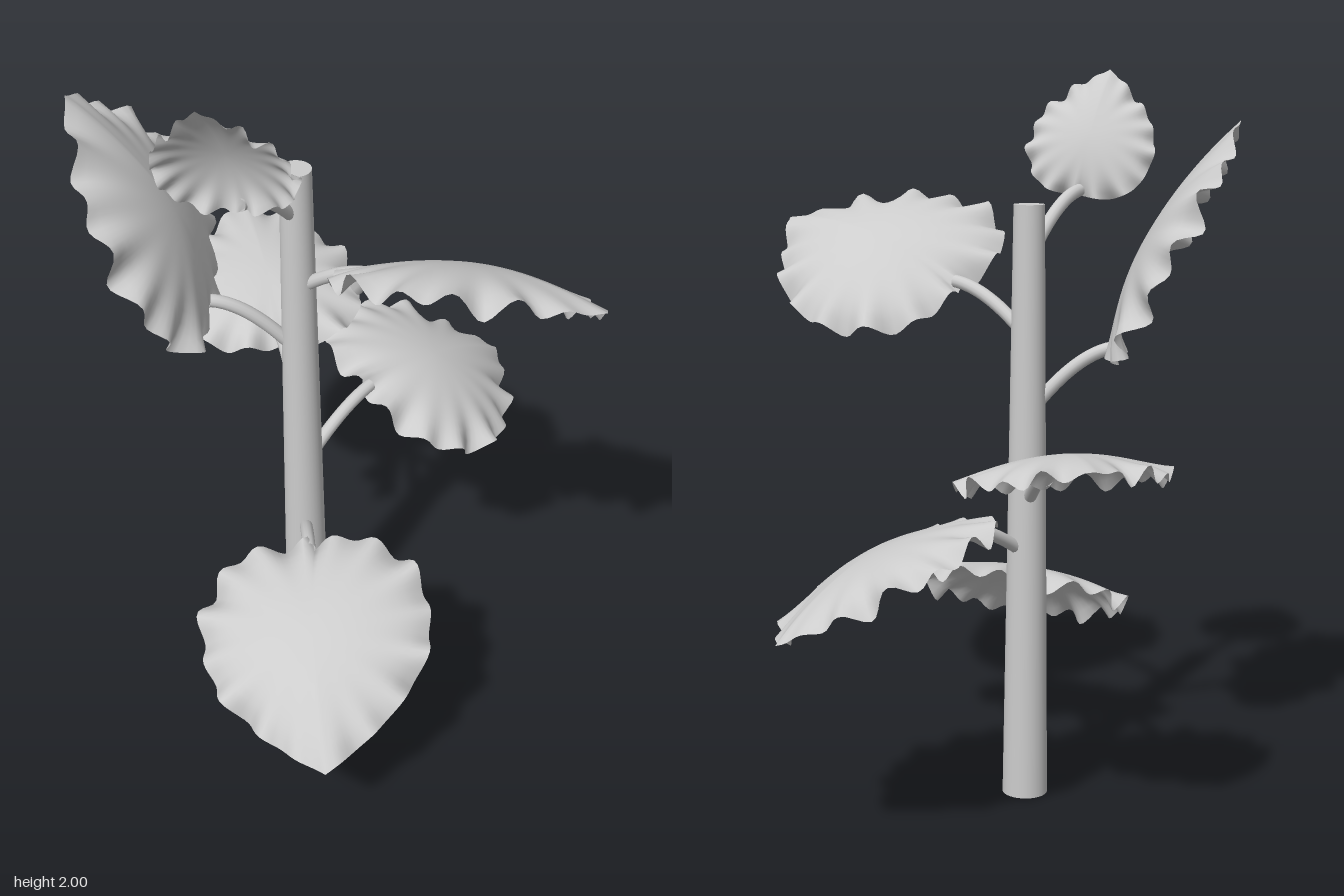
import * as THREE from 'three';

const V = (a) => new THREE.Vector3(...a);
const STEM_X = -0.14, STEM_Z = 0.14;

// Each leaf: height where its stalk leaves the stem, blade base, blade tip, sideways direction
const LEAVES = [
  { y: 0.48, base: [-0.01, 0.58, 0.28], tip: [0.4, 0.3, 0.72], side: [0.35, 0.08, -0.33] },
  { y: 0.69, base: [-0.125, 0.82, -0.12], tip: [-0.09, 0.62, -0.74], side: [0.54, -0.23, 0] },
  { y: 0.83, base: [-0.32, 0.95, 0.0], tip: [-0.76, 1.09, -0.34], side: [0.28, 0, -0.42] },
  { y: 1.08, base: [-0.3, 1.24, 0.29], tip: [-0.56, 1.87, 0.5], side: [0.36, -0.08, 0.45] },
  { y: 1.29, base: [0.09, 1.42, 0.13], tip: [0.76, 1.57, 0.1], side: [0, -0.3, -0.55] },
  { y: 1.5, base: [-0.11, 1.66, 0.38], tip: [-0.09, 2.0, 0.54], side: [0.31, 0.05, -0.14] },
];

// Half outline of a blade of length 1, from base to tip: (half width, distance along)
const HALF = new THREE.SplineCurve([
  [0, 0.01], [0.2, 0.01], [0.36, 0.09], [0.45, 0.24], [0.47, 0.42],
  [0.42, 0.6], [0.3, 0.76], [0.13, 0.91], [0, 1],
].map(([x, y]) => new THREE.Vector2(x, y)));

// Domed blade with a scalloped, ruffled rim, made of rings round its middle
function bladeGeometry(leaf, seed) {
  const base = V(leaf.base);
  const along = V(leaf.tip).sub(base);
  const length = along.length();
  along.normalize();
  const side = V(leaf.side);
  side.addScaledVector(along, -side.dot(along)).normalize();
  const up = new THREE.Vector3().crossVectors(side, along);
  if (up.y < 0) { up.negate(); side.negate(); }

  const RINGS = 12, SEGS = 128, MID = 0.44;
  const positions = [], index = [];
  for (let i = 0; i <= RINGS; i++) {
    const r = i / RINGS;
    for (let j = 0; j < SEGS; j++) {
      const k = j / SEGS * 2;
      const sign = k <= 1 ? 1 : -1;
      const t = k <= 1 ? k : 2 - k;
      const p = HALF.getPointAt(t);
      const window = Math.min(1, (1 - t) * 6);
      const wave = Math.sin(t * 48 + sign * 1.3 + seed) * 0.7 + Math.sin(t * 29 + sign * 2 + seed * 2) * 0.4;
      const scale = r * (1 + 0.035 * wave * window * r ** 3);
      const x = sign * p.x * scale;
      const y = MID + (p.y - MID) * scale;
      const h = 0.1 * (1 - r * r) + (0.045 * wave - 0.025) * window * r ** 7;
      const q = base.clone().addScaledVector(side, x * length)
        .addScaledVector(along, y * length).addScaledVector(up, h * length);
      positions.push(q.x, q.y, q.z);
      if (i < RINGS) {
        const a = i * SEGS + j, b = i * SEGS + (j + 1) % SEGS;
        index.push(a, a + SEGS, b + SEGS);
        if (i > 0) index.push(a, b + SEGS, b);
      }
    }
  }
  const geometry = new THREE.BufferGeometry();
  geometry.setAttribute('position', new THREE.Float32BufferAttribute(positions, 3));
  geometry.setIndex(index);
  geometry.computeVertexNormals();
  // All centre vertices share the blade's normal
  for (let j = 0; j < SEGS; j++) geometry.attributes.normal.setXYZ(j, up.x, up.y, up.z);
  return geometry;
}

// Curved stalk rising from the stem and levelling off at the blade
function stalkGeometry(leaf) {
  const start = new THREE.Vector3(STEM_X, leaf.y, STEM_Z);
  const end = V(leaf.base).lerp(V(leaf.tip), 0.04);
  const bend = start.clone().lerp(end, 0.55);
  bend.y = leaf.y + (end.y - leaf.y) * 0.92;
  const curve = new THREE.QuadraticBezierCurve3(start, bend, end);
  return new THREE.TubeGeometry(curve, 16, 0.018, 12);
}

export function createModel() {
  const model = new THREE.Group();
  model.name = 'leafyPlant';
  const grey = new THREE.MeshStandardMaterial({ color: 0xcccccc, side: THREE.DoubleSide });
  grey.name = 'light grey';

  const add = (parent, name, geometry) => {
    const mesh = new THREE.Mesh(geometry, grey);
    mesh.name = name;
    parent.add(mesh);
    return mesh;
  };

  // Tapered stem
  add(model, 'stem', new THREE.CylinderGeometry(0.042, 0.063, 1.65, 32))
    .position.set(STEM_X, 0.825, STEM_Z);

  // Leaves spiralling up the stem
  LEAVES.forEach((leaf, i) => {
    const group = new THREE.Group();
    group.name = `leaf${i + 1}`;
    add(group, 'stalk', stalkGeometry(leaf));
    add(group, 'blade', bladeGeometry(leaf, i * 1.7));
    model.add(group);
  });
  return model;
}
